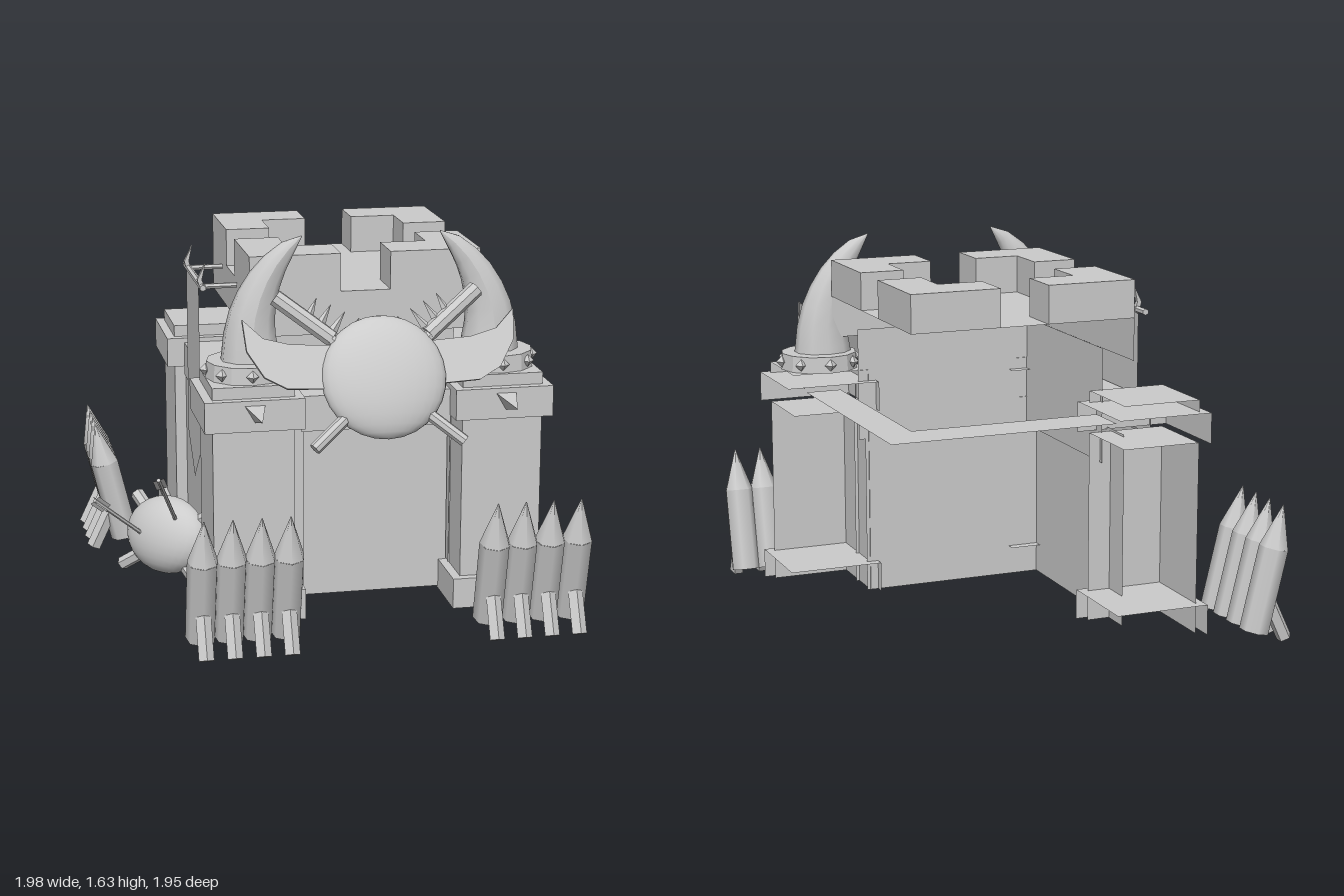
import * as THREE from 'three';

const mat = new THREE.MeshStandardMaterial({ color: 0xcccccc, side: THREE.DoubleSide });
const flat = new THREE.MeshStandardMaterial({ color: 0xcccccc, side: THREE.DoubleSide, flatShading: true });
const oneSided = new THREE.MeshStandardMaterial({ color: 0xcccccc });
const V = (x, y, z) => new THREE.Vector3(x, y, z);
const MID = 0.155; // mirror line of the front

function add(parent, name, geo, m = flat) {
  const mesh = new THREE.Mesh(geo, m);
  mesh.name = name;
  parent.add(mesh);
  return mesh;
}

// Box between two corners that keeps only the listed sides
const SIDES = ['+x', '-x', '+y', '-y', '+z', '-z'];
function block(parent, name, [x0, x1], [y0, y1], [z0, z1], keep, m = flat) {
  const geo = new THREE.BoxGeometry(x1 - x0, y1 - y0, z1 - z0);
  const all = Array.from(geo.index.array);
  geo.setIndex(SIDES.flatMap((s, i) => (keep.includes(s) ? all.slice(i * 6, i * 6 + 6) : [])));
  geo.clearGroups();
  geo.translate((x0 + x1) / 2, (y0 + y1) / 2, (z0 + z1) / 2);
  return add(parent, name, geo, m);
}

// Round bar between two points; smooth bars are open at the ends
function bar(parent, name, a, b, r0, r1 = r0, sides = 6, smooth = false) {
  const geo = new THREE.CylinderGeometry(r1, r0, a.distanceTo(b), sides, 1, smooth);
  const mesh = add(parent, name, geo, smooth ? mat : flat);
  mesh.position.copy(a).lerp(b, 0.5);
  mesh.quaternion.setFromUnitVectors(V(0, 1, 0), b.clone().sub(a).normalize());
  return mesh;
}

function outline(points) {
  return new THREE.Shape(points.map(([x, y]) => new THREE.Vector2(x, y)));
}

function plate(points, depth) {
  return new THREE.ExtrudeGeometry(outline(points), { depth, bevelEnabled: false });
}

// Square pillar with wider foot and head, open on its hidden sides
function pillar(parent, x, z) {
  const g = new THREE.Group();
  g.name = 'cornerPillar';
  const open = ['-x', '+y', '+z'], w = 0.17, v = 0.207;
  const part = (name, r, y) => block(g, name, [x - r, x + r], y, [z - r, z + r], open);
  part('pillarShaft', w, [0.06, 0.88]);
  part('pillarFoot', v, [0.06, 0.19]);
  part('pillarHead', v, [0.88, 1.01]);
  part('pillarCap', w, [1.01, 1.06]);
  parent.add(g);
}

// Curved tapering horn on a studded collar; s mirrors the bend
function horn(parent, x, s) {
  const g = new THREE.Group();
  g.name = 'hornOnCollar';
  g.position.set(x, 0, 0.43);
  add(g, 'collar', new THREE.CylinderGeometry(0.165, 0.17, 0.07, 12)).position.y = 1.095;
  for (let i = 0; i < 8; i++) {
    const a = (i * Math.PI) / 4;
    add(g, 'collarStud', new THREE.OctahedronGeometry(0.027)).position.set(Math.cos(a) * 0.168, 1.095, Math.sin(a) * 0.168);
  }
  const path = new THREE.CatmullRomCurve3([V(0.02 * s, 1.08, 0), V(0.02 * s, 1.28, 0), V(0.07 * s, 1.44, 0), V(0.15 * s, 1.56, 0), V(0.235 * s, 1.635, 0)]);
  const n = 8, sides = 10;
  const geo = new THREE.TubeGeometry(path, n, 1, sides);
  const p = geo.attributes.position;
  for (let i = 0; i <= n; i++) {
    const c = path.getPointAt(i / n), r = 0.13 * Math.pow(1 - i / n, 0.65) + 0.002;
    for (let j = 0; j <= sides; j++) {
      const k = i * (sides + 1) + j;
      const q = V(0, 0, 0).fromBufferAttribute(p, k).sub(c).multiplyScalar(r);
      p.setXYZ(k, c.x + q.x, c.y + q.y, q.z * 0.8);
    }
  }
  geo.computeVertexNormals();
  add(g, 'horn', geo, mat);
  parent.add(g);
}

// Leaning sharpened log with a short brace at its outer foot
function stake() {
  const g = new THREE.Group();
  g.name = 'stake';
  bar(g, 'stakeShaft', V(0, 0.065, 0), V(0, 0.42, 0.085), 0.064, 0.064, 7, true);
  bar(g, 'stakePoint', V(0, 0.42, 0.085), V(0, 0.6, 0.125), 0.064, 0.002, 7, true);
  bar(g, 'stakeBrace', V(0, 0.02, 0.145), V(0, 0.2, 0.06), 0.033, 0.033, 5);
  return g;
}

// Half-dome shield with a flat back
function dome(parent, rx, ry, rz) {
  const front = new THREE.SphereGeometry(1, 14, 14, 0, Math.PI);
  front.scale(rx, ry, rz);
  add(parent, 'shieldDome', front, mat);
  const back = new THREE.CircleGeometry(1, 28);
  back.scale(rx, ry, 1);
  add(parent, 'shieldBack', back);
}

export function createModel() {
  const root = new THREE.Group();
  root.name = 'watchtower';

  // Corner pillars
  for (const [x, z] of [[-0.37, 0.445], [0.675, 0.445], [-0.37, -0.67]]) pillar(root, x, z);

  // Lower walls and gate
  block(root, 'gateWall', [-0.13, 0.5], [0.07, 0.84], [0.38, 0.39], ['+z']);
  for (const [a, b] of [[-0.2, -0.13], [0.5, 0.52]]) block(root, 'gateJamb', [a, b], [0.06, 0.88], [0.42, 0.43], ['+z']);
  block(root, 'sideWall', [-0.49, -0.4], [0.06, 0.84], [-0.5, 0.06], ['-x']);
  // Inner lining, facing the inside only
  block(root, 'innerSideWall', [-0.31, -0.3], [0.06, 0.89], [-0.63, 0.28], ['+x'], oneSided);
  block(root, 'innerFrontWall', [-0.3, 0.52], [0.06, 0.76], [0.28, 0.29], ['-z'], oneSided);

  // Ledges running round between the pillars
  block(root, 'frontLedge', [-0.16, 0.47], [0.84, 0.99], [0.28, 0.55], ['+y', '+z']);
  block(root, 'sideLedge', [-0.5, -0.25], [0.84, 0.99], [-0.47, 0.06], ['+y', '-x']);
  block(root, 'backLedge', [-0.17, 0.8], [0.84, 0.99], [-0.83, -0.635], ['+y']);
  block(root, 'farLedge', [0.645, 0.8], [0.84, 0.99], [-0.635, 0.24], ['+y']);

  // Upper storey
  block(root, 'upperWalls', [-0.25, 0.55], [0.75, 1.24], [-0.52, 0.28], ['-x', '+z']);

  // Battlement: open parapet with four L-shaped corner merlons
  block(root, 'parapet', [-0.34, 0.64], [1.2, 1.38], [-0.63, 0.355], ['-x', '+y', '+z']);
  for (const sx of [-1, 1]) for (const sz of [-1, 1]) {
    const merlon = [[0.49, 0.4925], [0.49, 0.105], [0.3, 0.105], [0.3, 0.295], [0.105, 0.295], [0.105, 0.4925]];
    const geo = plate(merlon.map(([x, z]) => [sx * x, -sz * z]), 0.16);
    geo.rotateX(-Math.PI / 2);
    add(root, 'merlon', geo).position.set(0.15, 1.38, -0.1375);
  }

  // Horns and wedge spikes on the front pillars
  horn(root, -0.37, 1);
  horn(root, 0.68, -1);
  for (const x of [-0.37, 0.68]) {
    const spike = add(root, 'wedgeSpike', new THREE.ConeGeometry(0.05, 0.18, 3));
    spike.rotation.x = Math.PI / 2;
    spike.position.set(x, 0.965, 0.735);
  }

  // Shield over two crossed axes, tilted back
  const emblem = new THREE.Group();
  emblem.name = 'shieldAndAxes';
  emblem.position.set(MID, 1.09, 0.68);
  emblem.rotation.x = -0.42;
  dome(emblem, 0.26, 0.255, 0.085);
  for (const s of [-1, 1]) {
    bar(emblem, 'axeHandle', V(s * 0.42, 0.35, -0.01), V(-s * 0.31, -0.28, 0.01), 0.025, 0.025, 8);
    bar(emblem, 'axeSocket', V(s * 0.42, 0.35, -0.01), V(s * 0.2, 0.17, -0.01), 0.035, 0.035, 8);
    const blade = [[0.565, 0.26], [0.555, 0.13], [0.49, 0.02], [0.4, -0.03], [0.2, -0.04], [0.2, 0.14], [0.375, 0.15], [0.485, 0.18]];
    add(emblem, 'axeBlade', plate(blade.map(([x, y]) => [s * x, y]), 0.02)).position.z = -0.01;
    for (let i = 0; i < 4; i++) {
      const x = 0.3 - i * 0.045, y = 0.24 - i * 0.03;
      bar(emblem, 'axeSpike', V(s * x, y, -0.01), V(s * (x - 0.05 - i * 0.012), y + 0.1, -0.01), 0.025, 0.001, 4);
    }
  }
  root.add(emblem);

  // Banner hung on a pole from the side
  const banner = new THREE.ShapeGeometry(outline([[-0.33, 1.36], [0.04, 1.36], [0.04, 0.62], [-0.145, 0.46], [-0.33, 0.62]]));
  banner.rotateY(-Math.PI / 2);
  add(root, 'banner', banner).position.x = -0.505;
  bar(root, 'bannerPole', V(-0.495, 1.36, -0.42), V(-0.495, 1.36, 0.1), 0.014);
  for (const z of [-0.33, 0.06]) {
    bar(root, 'bannerBracket', V(-0.5, 1.36, z), V(-0.345, 1.36, z), 0.012);
    const hook = plate([[0, -0.01], [-0.015, 0.03], [0, 0.1], [-0.035, 0.03], [-0.02, -0.02]], 0.02);
    add(root, 'bracketHook', hook).position.set(-0.48, 1.36, z - 0.01);
  }

  // Rows of stakes: two at the front, one at the side
  for (let i = 0; i < 4; i++) {
    for (const x0 of [-0.625, 0.58]) {
      const s = stake();
      s.position.set(x0 + i * 0.117, 0, 0.795);
      root.add(s);
    }
    const s = stake();
    s.position.set(-0.775, 0, -0.92 + i * 0.117);
    s.rotation.y = -Math.PI / 2;
    root.add(s);
  }

  // Fallen shield leaning at the side, with crossed poles and arrows
  const fallen = new THREE.Group();
  fallen.name = 'fallenShield';
  fallen.position.set(-0.64, 0.22, -0.08);
  fallen.rotation.set(-0.3, -0.88, 0, 'YXZ');
  dome(fallen, 0.22, 0.17, 0.11);
  for (const s of [-1, 1]) bar(fallen, 'crossedPole', V(s * 0.23, 0.14, -0.01), V(-s * 0.23, -0.18, 0), 0.03);
  root.add(fallen);
  for (const [a, b] of [[V(-0.72, 0.2, -0.1), V(-0.97, 0.44, 0.06)], [V(-0.61, 0.3, 0), V(-0.72, 0.58, 0.27)]]) {
    const arrow = bar(root, 'arrow', a, b, 0.009);
    for (let i = 0; i < 2; i++) {
      const fin = add(arrow, 'arrowFeather', new THREE.PlaneGeometry(0.05, 0.08));
      fin.position.y = a.distanceTo(b) / 2 - 0.04;
      fin.rotation.y = (i * Math.PI) / 2;
    }
  }
  return root;
}
